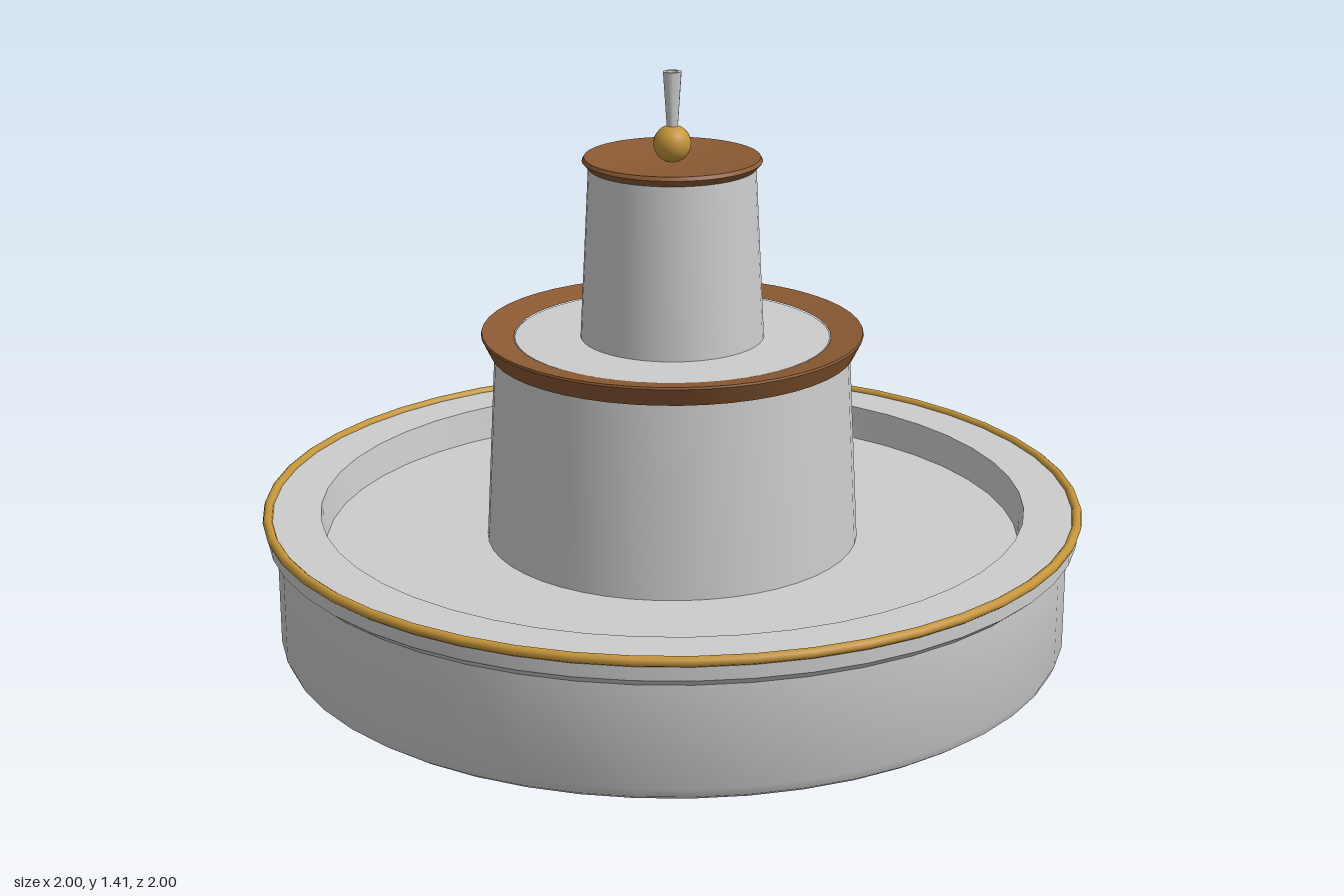
import * as THREE from 'three';
import { toCreasedNormals } from 'three/addons/utils/BufferGeometryUtils.js';

const material = (name, color) => {
  const m = new THREE.MeshStandardMaterial({ color });
  m.name = name;
  return m;
};

export function createModel() {
  const stone = material('pale stone', 0xcccccc);
  const copper = material('brown copper', 0x8b5a33);
  const gold = material('gold', 0xc4943a);

  const model = new THREE.Group();
  model.name = 'fountain';

  const add = (name, geometry, mat, y = 0) => {
    const mesh = new THREE.Mesh(geometry, mat);
    mesh.name = name;
    mesh.position.y = y;
    model.add(mesh);
    return mesh;
  };

  // Turned part from [radius, height] points, listed from the bottom up
  const turned = (name, points, mat, sides = 48) => {
    const profile = points.map(([r, y]) => new THREE.Vector2(r, y));
    return add(name, toCreasedNormals(new THREE.LatheGeometry(profile, sides), 0.5), mat);
  };

  // Wide basin with a stepped lip and sunken floor
  turned('basin', [
    [0, 0], [0.94, 0], [0.957, 0.012], [0.967, 0.035], [0.967, 0.28],
    [0.99, 0.3], [0.99, 0.345], [0.86, 0.345], [0.85, 0.26], [0, 0.26],
  ], stone);
  const rim = add('basinRim', new THREE.TorusGeometry(0.988, 0.012, 10, 48), gold, 0.344);
  rim.rotation.x = Math.PI / 2;

  // Lower tier with a flared, slightly dished lip
  turned('lowerTier', [[0.455, 0.26], [0.43, 0.73], [0.38, 0.765], [0, 0.765]], stone);
  turned('lowerLip', [
    [0.425, 0.73], [0.44, 0.73], [0.462, 0.775], [0.46, 0.78], [0.383, 0.766],
  ], copper);

  // Upper tier with a shallow bowl on top
  turned('upperTier', [[0.222, 0.76], [0.2, 1.185]], stone);
  turned('upperBowl', [
    [0, 1.18], [0.2, 1.18], [0.215, 1.197], [0.21, 1.206], [0.2, 1.205],
    [0.13, 1.196], [0, 1.19],
  ], copper);

  // Ball finial and hollow flared nozzle
  add('finialBall', new THREE.SphereGeometry(0.045, 24, 16), gold, 1.237);
  turned('nozzle', [
    [0.012, 1.26], [0.022, 1.41], [0.014, 1.41], [0.01, 1.37], [0, 1.37],
  ], stone, 16);

  return model;
}
